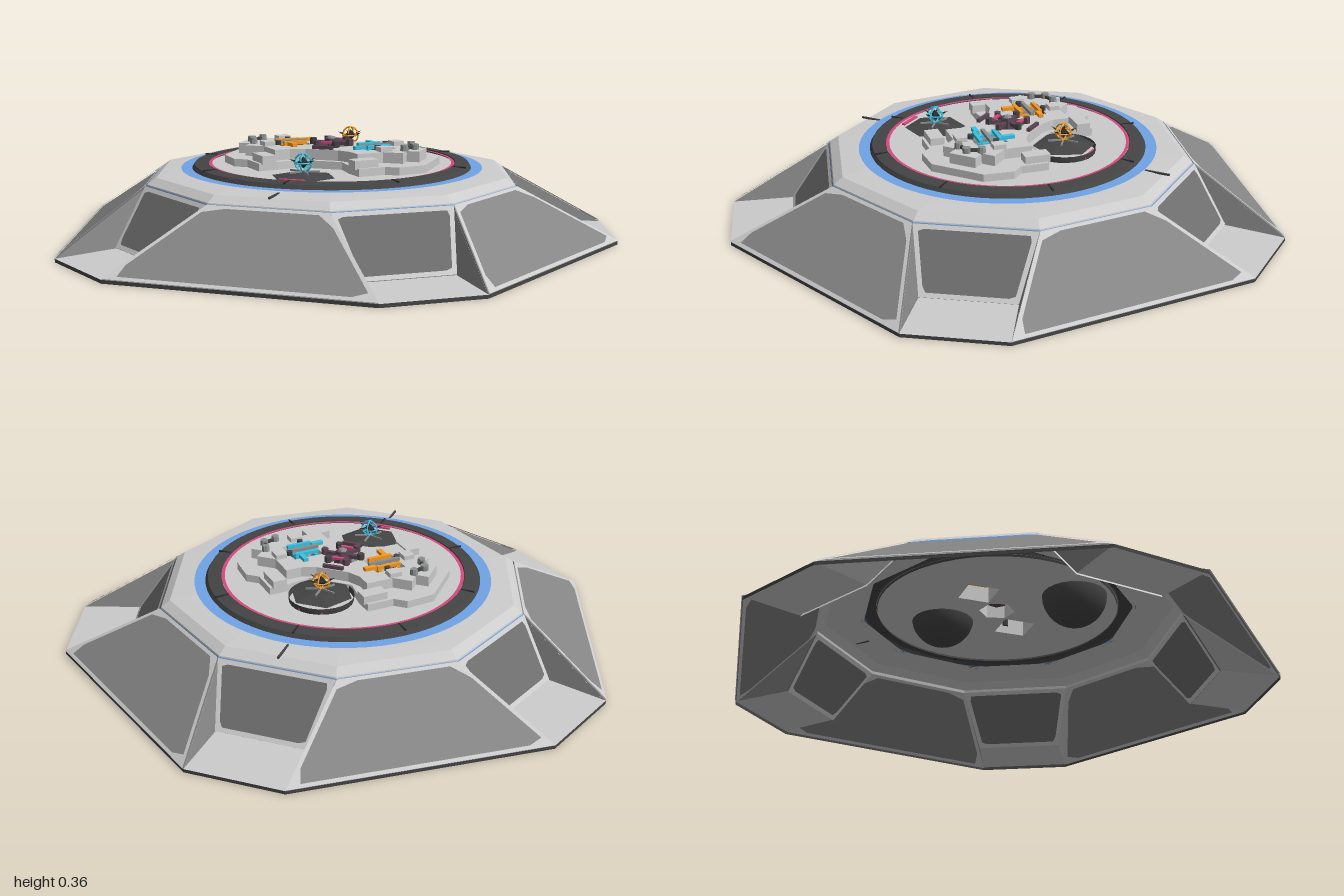
import * as THREE from 'three';

const RAD = Math.PI / 180;
const mat = (color, flat = true) =>
  new THREE.MeshStandardMaterial({ color, flatShading: flat, side: THREE.DoubleSide });
const M = {
  light: mat(0xcccccc), panel: mat(0x858585), window: mat(0x6e6e6e), dark: mat(0x444444),
  black: mat(0x2a2a2a), blue: mat(0x6fa3e6), pink: mat(0xd6487f), orange: mat(0xf59a22),
  cyan: mat(0x38c4e6), mauve: mat(0x5c4554), steel: mat(0x8c9090), bowl: mat(0x444444, false),
};

// Point at a compass angle (degrees from the back), radius and height
const at = (deg, r, y) => new THREE.Vector3(r * Math.sin(deg * RAD), y, -r * Math.cos(deg * RAD));

function add(parent, name, geo, material, x = 0, y = 0, z = 0) {
  const m = new THREE.Mesh(geo, material);
  m.name = name;
  m.position.set(x, y, z);
  parent.add(m);
  return m;
}

// One geometry from a list of convex polygons
function polygons(list) {
  const pos = [];
  for (const p of list)
    for (let i = 1; i < p.length - 1; i++)
      for (const v of [p[0], p[i], p[i + 1]]) pos.push(v.x, v.y, v.z);
  const g = new THREE.BufferGeometry();
  g.setAttribute('position', new THREE.Float32BufferAttribute(pos, 3));
  g.computeVertexNormals();
  return g;
}

// Border strips with corner gussets, on both faces of a four-cornered panel
function frame(q, w, gusset) {
  const out = [];
  const n = q[1].clone().sub(q[0]).cross(q[3].clone().sub(q[0])).normalize();
  for (const side of [0.005, -0.005]) {
    const o = q.map(p => p.clone().addScaledVector(n, side));
    const dir = (i, j) => o[(j + 4) % 4].clone().sub(o[i]).normalize();
    const inner = o.map((p, i) => p.clone().addScaledVector(dir(i, i + 1), w).addScaledVector(dir(i, i + 3), w));
    for (let i = 0; i < 4; i++) {
      const j = (i + 1) % 4;
      out.push([o[i], o[j], inner[j], inner[i]]);
      out.push([inner[i], inner[i].clone().addScaledVector(dir(i, i + 1), gusset),
        inner[i].clone().addScaledVector(dir(i, i + 3), gusset * 0.4)]);
    }
  }
  return out;
}

const shapeOf = pts => new THREE.Shape(pts.map(p => new THREE.Vector2(p[0], p[1])));
// Full outline from the points of one quadrant, going from the x axis to the z axis
function mirrored(q) {
  const r = [...q].reverse();
  return [...q, ...r.map(([x, y]) => [-x, y]), ...q.map(([x, y]) => [-x, -y]), ...r.map(([x, y]) => [x, -y])];
}
const ngon = (n, r, cx = 0) => Array.from({ length: n }, (_, i) =>
  [cx + r * Math.cos(i * 2 * Math.PI / n), r * Math.sin(i * 2 * Math.PI / n)]);
// Openings for the machinery: a central hexagon and a diamond at each side
const openings = () => [ngon(6, 0.065), ngon(4, 0.08, 0.155), ngon(4, 0.08, -0.155)].map(shapeOf);

function slab(pts, y0, y1) {
  const s = shapeOf(pts);
  s.holes = openings();
  return new THREE.ExtrudeGeometry(s, { depth: y1 - y0, bevelEnabled: false })
    .rotateX(-Math.PI / 2).translate(0, y0, 0);
}
const flatRing = (r0, r1, y, start = 0, len = Math.PI * 2) =>
  new THREE.RingGeometry(r0, r1, 64, 1, start, len).rotateX(-Math.PI / 2).translate(0, y, 0);
const lathe = (pts, n, start = 0) =>
  new THREE.LatheGeometry(pts.map(p => new THREE.Vector2(p[0], p[1])), n, start);

// Sloping skirt: five wide panels and five recessed bays
function buildSkirt(g) {
  const R = 1.006, r = 0.665, y0 = 0.012, y1 = 0.208, a = 9.8;
  const wide = [], wideFrames = [], walls = [], pads = [], windows = [], bayFrames = [], edge = [];
  const strip = (p, q) => edge.push([p, q, q.clone().setY(0), p.clone().setY(0)]);
  for (let k = 0; k < 5; k++) {
    const t = 72 * k;
    const w = [at(t + a, R, y0), at(t + 72 - a, R, y0), at(t + 54, r, y1), at(t + 18, r, y1)];
    wide.push(w);
    wideFrames.push(...frame(w, 0.016, 0.06));
    const oL = at(t - a, R, y0), oR = at(t + a, R, y0);
    const mL = at(t - 11.7, 0.79, 0.02), mR = at(t + 11.7, 0.79, 0.02);
    const tL = at(t - 18, r, y1), tR = at(t + 18, r, y1);
    pads.push([oL, oR, mR, mL]);
    windows.push([mL, mR, tR, tL]);
    bayFrames.push(...frame([mL, mR, tR, tL], 0.016, 0.02));
    walls.push([oL, mL, tL], [oR, mR, tR]);
    strip(oL, oR);
    strip(w[0], w[1]);
  }
  add(g, 'widePanels', polygons(wide), M.panel);
  add(g, 'widePanelFrames', polygons(wideFrames), M.light);
  add(g, 'bayPads', polygons(pads), M.light);
  add(g, 'bayWindows', polygons(windows), M.window);
  add(g, 'bayWindowFrames', polygons(bayFrames), M.light);
  add(g, 'baySideWalls', polygons(walls), M.panel);
  add(g, 'baseEdge', polygons(edge), M.dark);
}

// Ten-sided rim and the round rings on it
function buildRim(g) {
  add(g, 'rim', lathe([[0.665, 0.205], [0.662, 0.216], [0.63, 0.238], [0.57, 0.242], [0.49, 0.246]], 10, 18 * RAD), M.light);
  add(g, 'rimBlueLine', lathe([[0.668, 0.206], [0.666, 0.213]], 10, 18 * RAD), M.blue);
  for (const s of [-1, 1]) {
    add(g, 'rimSeam', new THREE.BoxGeometry(0.007, 0.006, 0.09), M.dark, 0, 0.242, s * 0.575);
  }
  add(g, 'blueRing', flatRing(0.485, 0.533, 0.25), M.blue);
  add(g, 'darkRing', lathe([[0.497, 0.245], [0.485, 0.264], [0.438, 0.268], [0.432, 0.25]], 64), M.dark);
  for (let i = 0; i < 8; i++) {
    const m = add(g, 'darkRingSeam', new THREE.BoxGeometry(0.005, 0.006, 0.05), M.black);
    m.position.copy(at(i * 45, 0.463, 0.266));
    m.rotation.y = -i * 45 * RAD;
  }
  add(g, 'pinkRing', flatRing(0.424, 0.436, 0.265), M.pink);
}

// Round floor and the stepped platform
function buildDeck(g) {
  const disc = new THREE.Shape().absarc(0, 0, 0.436, 0, Math.PI * 2);
  disc.holes = openings();
  add(g, 'floor', new THREE.ShapeGeometry(disc, 32).rotateX(-Math.PI / 2), M.light, 0, 0.258, 0);
  add(g, 'lowerStep', slab(mirrored([[0.37, 0.10], [0.30, 0.18], [0.25, 0.18], [0.18, 0.25], [0.13, 0.20], [0.08, 0.13]]), 0.258, 0.285), M.light);
  add(g, 'upperStep', slab(mirrored([[0.335, 0.05], [0.29, 0.05], [0.29, 0.10], [0.22, 0.10], [0.15, 0.17], [0.11, 0.13], [0.06, 0.11]]), 0.285, 0.322), M.light);
  for (const sx of [-1, 1]) for (const sz of [-1, 1]) {
    add(g, 'cornerBlock', new THREE.BoxGeometry(0.09, 0.03, 0.05), M.light, sx * 0.18, 0.296, sz * 0.20).rotation.y = sx * sz * Math.PI / 4;
    add(g, 'edgeBlock', new THREE.BoxGeometry(0.045, 0.016, 0.04), M.light, sx * 0.215, 0.33, sz * 0.075).rotation.y = sx * sz * Math.PI / 4;
  }
}

// Hexagonal pad over a bowl, with a caged beacon
function buildBeacon(g, z, y, color) {
  const b = new THREE.Group();
  b.name = 'beacon';
  b.position.set(0, y, z);
  g.add(b);
  add(b, 'hexPad', new THREE.CylinderGeometry(0.04, 0.112, 0.012, 6).rotateY(Math.PI / 6), M.dark);
  add(b, 'bowl', new THREE.SphereGeometry(0.115, 24, 10, 0, Math.PI * 2, Math.PI / 2, Math.PI / 2), M.bowl, 0, -0.008, 0);
  add(b, 'beaconCore', new THREE.OctahedronGeometry(0.02), M.black, 0, 0.042, 0);
  for (let i = 0; i < 3; i++) {
    const ring = add(b, 'beaconCage', new THREE.TorusGeometry(0.03, 0.003, 4, 12), color, 0, 0.042, 0);
    if (i < 2) ring.rotation.y = i * Math.PI / 2;
    else ring.rotation.x = Math.PI / 2;
  }
  for (let i = 0; i < 5; i++) {
    const leg = add(b, 'beaconLeg', new THREE.BoxGeometry(0.005, 0.006, 0.05), M.steel);
    leg.position.copy(at(i * 72, 0.03, 0.012));
    leg.rotation.y = -i * 72 * RAD;
    const spike = add(b, 'beaconSpike', new THREE.ConeGeometry(0.004, 0.02, 4), M.black);
    spike.position.copy(at(i * 72 + 36, 0.038, 0.05));
    spike.quaternion.setFromUnitVectors(new THREE.Vector3(0, 1, 0), at(i * 72 + 36, 1, 0.4).normalize());
  }
}

// Diagonal bars and pipes at one side of the centre
function buildMachinery(g, s, color) {
  const m = new THREE.Group();
  m.name = 'sideMachinery';
  m.position.x = s * 0.155;
  g.add(m);
  for (const d of [-1, 1]) {
    for (let i = -1; i <= 1; i++) {
      const off = i * 0.036;
      const bar = add(m, 'diagonalBar', new THREE.BoxGeometry(0.12 - Math.abs(i) * 0.03, 0.012, 0.013),
        i === 0 ? M.steel : color, off * 0.707, 0.322 + d * 0.007, off * 0.707 * d);
      bar.rotation.y = d * Math.PI / 4;
    }
    add(m, 'bracket', new THREE.BoxGeometry(0.045, 0.018, 0.018), color, -s * 0.03, 0.325, d * 0.065).rotation.y = d * s * Math.PI / 4;
    add(m, 'canister', new THREE.CylinderGeometry(0.011, 0.011, 0.05, 8), M.dark, s * 0.03, 0.312, d * 0.05);
    add(m, 'endNode', new THREE.CylinderGeometry(0.013, 0.016, 0.025, 8), M.steel, s * 0.125, 0.33, d * 0.045);
    add(m, 'endLink', new THREE.BoxGeometry(0.045, 0.01, 0.01), M.dark, s * 0.135, 0.33, d * 0.022).rotation.y = d * s * Math.PI / 3;
  }
  add(m, 'endHub', new THREE.CylinderGeometry(0.015, 0.015, 0.022, 8), M.steel, s * 0.15, 0.33, 0);
}

// Central hub with a ring of small nodes
function buildHub(g) {
  add(g, 'hub', new THREE.CylinderGeometry(0.026, 0.034, 0.06, 6), M.mauve, 0, 0.318, 0);
  add(g, 'hubCap', new THREE.CylinderGeometry(0.012, 0.018, 0.008, 6), M.steel, 0, 0.35, 0);
  for (let i = 0; i < 6; i++) {
    const spoke = add(g, 'hubSpoke', new THREE.BoxGeometry(0.014, 0.014, 0.06), M.mauve);
    spoke.position.copy(at(i * 60 + 30, 0.045, 0.33));
    spoke.rotation.y = -(i * 60 + 30) * RAD;
    const node = add(g, 'hubNode', new THREE.CylinderGeometry(0.013, 0.013, 0.022, 6), i % 2 ? M.mauve : M.dark);
    node.position.copy(at(i * 60 + 30, 0.068, 0.335));
  }
  for (const s of [-1, 1]) {
    add(g, 'hubBar', new THREE.BoxGeometry(0.045, 0.008, 0.012), M.pink, 0, 0.338, s * 0.048);
    add(g, 'hubEndBar', new THREE.BoxGeometry(0.075, 0.012, 0.012), M.mauve, 0, 0.328, s * 0.1);
  }
}

export function createModel() {
  const model = new THREE.Group();
  model.name = 'decagonalPlatform';
  const g = new THREE.Group();
  g.name = 'platform';
  g.position.z = 0.045;
  model.add(g);
  buildSkirt(g);
  buildRim(g);
  buildDeck(g);
  buildBeacon(g, 0.30, 0.264, M.cyan);
  buildBeacon(g, -0.22, 0.288, M.orange);
  buildMachinery(g, -1, M.orange);
  buildMachinery(g, 1, M.cyan);
  buildHub(g);
  for (const s of [-1, 1]) {
    add(g, 'pinkMarker', new THREE.BoxGeometry(0.09, 0.006, 0.012), M.pink, 0, 0.264, 0.045 + s * 0.365);
  }
  return model;
}
